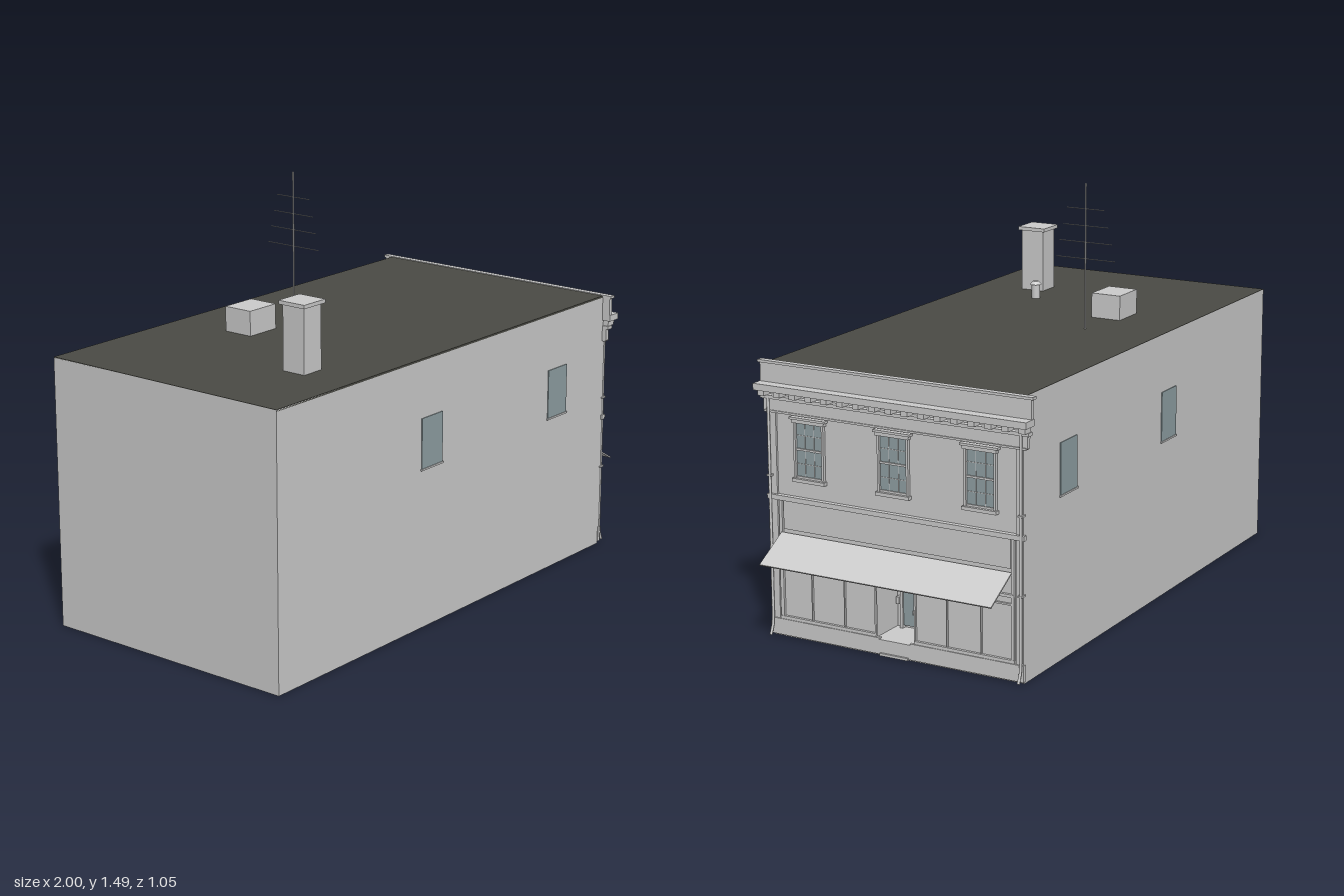
import * as THREE from 'three';

export function createModel() {
  const model = new THREE.Group();
  const material = (name, color, side = THREE.FrontSide) => {
    const m = new THREE.MeshStandardMaterial({ color, side });
    m.name = name;
    return m;
  };
  const plaster = material('plaster', 0xcccccc, THREE.DoubleSide);
  const roofing = material('roofing', 0x4b4b45);
  const glass = material('glass', 0x90a0a4);

  const add = (name, geometry, mat = plaster, parent = model) => {
    const mesh = new THREE.Mesh(geometry, mat);
    mesh.name = name;
    parent.add(mesh);
    return mesh;
  };
  // Box given by its limits on each axis
  const box = (name, x0, x1, y0, y1, z0, z1, mat = plaster, parent = model) => {
    const mesh = add(name, new THREE.BoxGeometry(x1 - x0, y1 - y0, z1 - z0), mat, parent);
    mesh.position.set((x0 + x1) / 2, (y0 + y1) / 2, (z0 + z1) / 2);
    return mesh;
  };
  const group = (name) => {
    const g = new THREE.Group();
    g.name = name;
    model.add(g);
    return g;
  };

  const X = 0.855, H = 0.965, W = 0.49; // facade plane, roof height, half width

  // Hollow shell, open underneath
  for (const s of [-1, 1]) {
    const wall = add('sideWall', new THREE.PlaneGeometry(X + 1, H));
    wall.position.set((X - 1) / 2, H / 2, s * W);
    if (s < 0) wall.rotation.y = Math.PI;
  }
  const back = add('backWall', new THREE.PlaneGeometry(2 * W, H));
  back.rotation.y = -Math.PI / 2;
  back.position.set(-1, H / 2, 0);
  box('roof', -1, X - 0.005, H - 0.006, H + 0.001, -W, W, roofing);
  box('shopFloor', 0.06, X, 0.001, 0.008, -W, W);

  // Street facade with an opening for the entry
  const outline = new THREE.Shape();
  outline.moveTo(-W, 0).lineTo(W, 0).lineTo(W, H).lineTo(-W, H).closePath();
  const opening = new THREE.Path();
  opening.moveTo(-0.08, 0.06).lineTo(-0.08, 0.29).lineTo(0.08, 0.29).lineTo(0.08, 0.06).closePath();
  outline.holes.push(opening);
  const facade = add('facade', new THREE.ShapeGeometry(outline));
  facade.rotation.y = Math.PI / 2;
  facade.position.x = X;

  // Recessed entry with a glazed door
  const entry = group('entry');
  const D = 0.72;
  box('entryFloor', D, X, 0.052, 0.06, -0.08, 0.08, plaster, entry);
  box('entryCeiling', D, X, 0.29, 0.295, -0.08, 0.08, plaster, entry);
  box('entryBack', D - 0.005, D, 0.06, 0.29, -0.08, 0.08, plaster, entry);
  box('doorGlass', D, D + 0.012, 0.07, 0.25, -0.047, 0.047, glass, entry);
  box('doorHead', D, D + 0.018, 0.25, 0.265, -0.058, 0.058, plaster, entry);
  box('doorSplit', D, D + 0.015, 0.07, 0.25, -0.0015, 0.0015, plaster, entry);
  box('doorHandle', D, D + 0.022, 0.115, 0.13, 0.003, 0.006, plaster, entry);
  box('doorStep', X, 0.875, 0.005, 0.014, -0.055, 0.055, plaster, entry);
  for (const s of [-1, 1]) {
    box('entrySide', D, X, 0.06, 0.29, s * 0.08 - 0.002, s * 0.08 + 0.002, plaster, entry);
    box('doorJamb', D, D + 0.018, 0.06, 0.265, s * 0.0525 - 0.0055, s * 0.0525 + 0.0055, plaster, entry);
    for (const y of [0.145, 0.205])
      box('doorBracket', D, D + 0.02, y, y + 0.025, s * 0.066 - 0.006, s * 0.066 + 0.006, plaster, entry);
  }

  // Shopfront framing on either side of the entry
  const shop = group('shopfront');
  for (const s of [-1, 1]) {
    for (const [z, w] of [[0.077, 0.006], [0.2, 0.004], [0.33, 0.004], [0.455, 0.006]])
      box('shopMullion', X, X + 0.008, 0.07, 0.29, s * z - w / 2, s * z + w / 2, plaster, shop);
    const [z0, z1] = s > 0 ? [0.075, 0.458] : [-0.458, -0.075];
    box('shopSill', X, X + 0.01, 0.065, 0.076, z0, z1, plaster, shop);
    box('transomRail', X, X + 0.008, 0.262, 0.268, z0, z1, plaster, shop);
    box('bulkhead', X, X + 0.013, 0.008, 0.065, s > 0 ? 0.06 : -0.493, s > 0 ? 0.493 : -0.06, plaster, shop);
    box('signPost', X, X + 0.009, 0.07, 0.49, s * 0.45 - 0.006, s * 0.45 + 0.006, plaster, shop);
  }
  box('bulkheadMiddle', X, X + 0.013, 0.008, 0.06, -0.06, 0.06, plaster, shop);
  box('shopHead', X, X + 0.01, 0.29, 0.3, -0.455, 0.455, plaster, shop);
  box('signBoard', X, X + 0.006, 0.387, 0.49, -0.44, 0.44, plaster, shop);
  box('beltCourse', X, X + 0.018, 0.49, 0.507, -0.497, 0.497, plaster, shop);

  // Sloping awning
  const slope = Math.atan2(0.078, 0.135);
  const awning = add('awning', new THREE.BoxGeometry(Math.hypot(0.078, 0.135), 0.005, 0.894));
  awning.rotation.z = -slope;
  awning.position.set(0.931, 0.335, 0);

  // Corner pilasters and downpipes
  for (const s of [-1, 1]) {
    box('pilaster', X, X + 0.008, 0.065, 0.8, s * 0.476 - 0.014, s * 0.476 + 0.014);
    const path = new THREE.CurvePath();
    const pts = [[0.872, 0.845], [0.872, 0.07], [0.876, 0.04], [0.889, 0.008]]
      .map(([x, y]) => new THREE.Vector3(x, y, s * 0.485));
    for (let i = 0; i < 3; i++) path.add(new THREE.LineCurve3(pts[i], pts[i + 1]));
    add('downpipe', new THREE.TubeGeometry(path, 24, 0.005, 8));
    for (const y of [0.3, 0.57])
      box('pipeBracket', X, X + 0.024, y, y + 0.006, s * 0.485 - 0.009, s * 0.485 + 0.009);
  }

  // Sash windows of the upper floor
  for (const z of [-0.33, 0, 0.33]) {
    const win = group('sashWindow');
    win.position.z = z;
    box('pane', X, X + 0.003, 0.575, 0.77, -0.055, 0.055, glass, win);
    for (const s of [-1, 1]) {
      box('jamb', X, X + 0.012, 0.575, 0.775, s * 0.0555 - 0.004, s * 0.0555 + 0.004, plaster, win);
      box('muntin', X, X + 0.005, 0.575, 0.77, s * 0.018 - 0.001, s * 0.018 + 0.001, plaster, win);
    }
    for (const y of [0.625, 0.724])
      box('crossMuntin', X, X + 0.005, y - 0.001, y + 0.001, -0.055, 0.055, plaster, win);
    box('meetingRail', X, X + 0.008, 0.672, 0.679, -0.055, 0.055, plaster, win);
    box('bottomRail', X, X + 0.007, 0.575, 0.582, -0.055, 0.055, plaster, win);
    box('sill', X, X + 0.018, 0.563, 0.575, -0.065, 0.065, plaster, win);
    box('lintel', X, X + 0.016, 0.768, 0.78, -0.064, 0.064, plaster, win);
    box('lintelCap', X, X + 0.02, 0.78, 0.788, -0.071, 0.071, plaster, win);
  }

  // Plain windows with sills on both long sides
  for (const s of [-1, 1]) for (const x of [-0.19, 0.56]) {
    const z = s * (W + 0.001);
    box('sideWindow', x - 0.058, x + 0.058, 0.578, 0.757, z - 0.002, z + 0.002, glass);
    box('sideSill', x - 0.062, x + 0.062, 0.572, 0.578, z - 0.005, z + 0.005);
  }

  // Frieze, bracketed cornice and parapet
  const cornice = group('cornice');
  box('frieze', X - 0.005, X + 0.012, 0.797, 0.845, -0.507, 0.507, plaster, cornice);
  box('friezeFoot', X - 0.005, X + 0.016, 0.793, 0.8, -0.503, 0.503, plaster, cornice);
  box('bedMould', X - 0.005, X + 0.02, 0.84, 0.852, -0.515, 0.515, plaster, cornice);
  for (let i = 0; i < 17; i++) {
    const z = -0.5 + i / 16;
    box('modillion', X, 0.892, 0.852, 0.872, z - 0.012, z + 0.012, plaster, cornice);
  }
  box('corniceSlab', X - 0.005, 0.905, 0.872, 0.895, -0.522, 0.522, plaster, cornice);
  box('parapet', 0.848, 0.864, 0.895, 0.96, -0.52, 0.52, plaster, cornice);
  box('parapetCap', 0.845, 0.868, 0.96, 0.969, -0.527, 0.527, plaster, cornice);

  // Chimney, vent and hatch on the roof
  box('chimney', -0.648, -0.56, H, 1.193, 0.22, 0.31);
  box('chimneyCap', -0.658, -0.55, 1.193, 1.206, 0.21, 0.32);
  box('roofHatch', -0.39, -0.255, H, 1.055, -0.26, -0.147);
  const vent = add('ventPipe', new THREE.CylinderGeometry(0.016, 0.016, 0.055, 12));
  vent.position.set(-0.445, H + 0.0275, 0.187);
  const ventCap = add('ventCap', new THREE.CylinderGeometry(0.01, 0.023, 0.012, 12));
  ventCap.position.set(-0.445, 1.024, 0.187);

  // Aerial with four rods
  const aerial = group('aerial');
  aerial.position.set(-0.075, 0, -0.215);
  const mast = add('mast', new THREE.CylinderGeometry(0.003, 0.003, 1.485 - H, 8), plaster, aerial);
  mast.position.y = (1.485 + H) / 2;
  for (const [y, half] of [[1.218, 0.116], [1.277, 0.103], [1.335, 0.088], [1.395, 0.073]]) {
    const rod = add('rod', new THREE.CylinderGeometry(0.0015, 0.0015, 2 * half, 6), plaster, aerial);
    rod.rotation.x = Math.PI / 2;
    rod.position.y = y;
  }
  return model;
}
